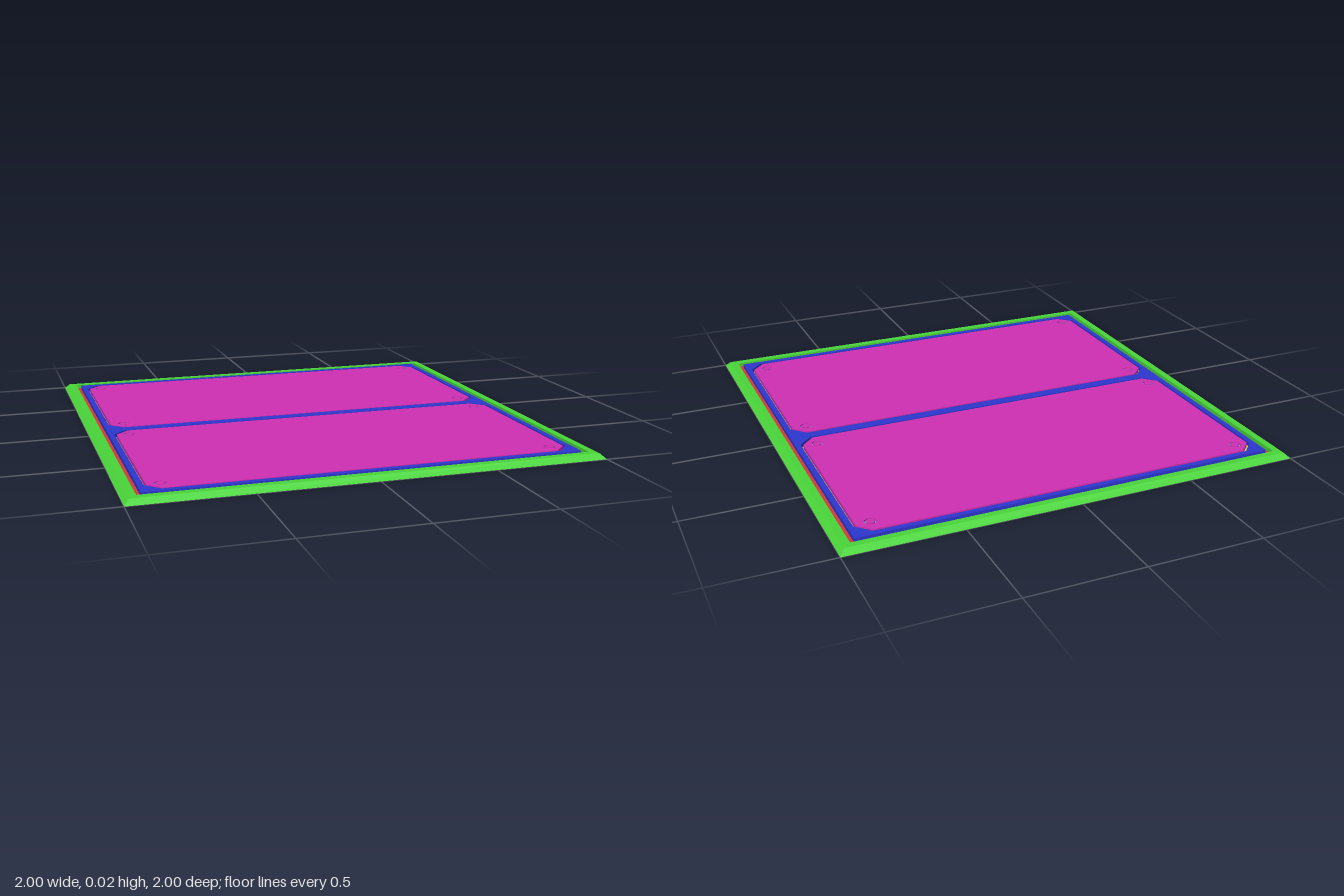
import * as THREE from 'three';

const TOP = 0.022, FLOOR = 0.004, RING_Y = 0.016;

const material = (color) =>
  new THREE.MeshStandardMaterial({ color, side: THREE.DoubleSide, flatShading: true });
const GREEN = material(0x4ad63a), RED = material(0xd63a3a), BLUE = material(0x2e36d0);
const YELLOW = material(0xd6d03a), MAGENTA = material(0xd030b4), CYAN = material(0x30c8d6);

// Outlines are loops of [x, z] points
const rect = (h, cz = 0) => [[-h, cz + h], [h, cz + h], [h, cz - h], [-h, cz - h]];

function octagon(cz, hx, hz, c) {
  return [
    [-hx + c, hz], [hx - c, hz], [hx, hz - c], [hx, -hz + c],
    [hx - c, -hz], [-hx + c, -hz], [-hx, -hz + c], [-hx, hz - c],
  ].map(([x, z]) => [x, z + cz]);
}

function circle(cx, cz, r, n = 24) {
  return Array.from({ length: n }, (_, i) => {
    const a = (i / n) * Math.PI * 2;
    return [cx + r * Math.cos(a), cz - r * Math.sin(a)];
  });
}

// Strip of quads joining an outer outline to an inner one
function strip(outer, y0, inner, y1) {
  const pos = [], n = outer.length;
  for (let i = 0; i < n; i++) {
    const j = (i + 1) % n;
    const a = [outer[i][0], y0, outer[i][1]], b = [outer[j][0], y0, outer[j][1]];
    const c = [inner[j][0], y1, inner[j][1]], d = [inner[i][0], y1, inner[i][1]];
    pos.push(...a, ...b, ...c, ...a, ...c, ...d);
  }
  const geo = new THREE.BufferGeometry();
  geo.setAttribute('position', new THREE.Float32BufferAttribute(pos, 3));
  geo.computeVertexNormals();
  return geo;
}

// Flat horizontal sheet with holes
function sheet(outline, holes, y) {
  const pts = (loop) => loop.map(([x, z]) => new THREE.Vector2(x, -z));
  const shape = new THREE.Shape(pts(outline));
  holes.forEach((h) => shape.holes.push(new THREE.Path(pts(h))));
  return new THREE.ShapeGeometry(shape).rotateX(-Math.PI / 2).translate(0, y, 0);
}

export function createModel() {
  const model = new THREE.Group();
  model.name = 'panelTile';
  const add = (name, geo, mat, parent = model) => {
    const mesh = new THREE.Mesh(geo, mat);
    mesh.name = name;
    parent.add(mesh);
  };

  // Bevelled outer frame, folded down into the groove around the plate
  const foot = rect(1), rim = rect(0.978), lip = rect(0.946, -0.002), plate = rect(0.924, -0.002);
  add('frameBevel', strip(foot, 0, rim, TOP), GREEN);
  add('frameTop', strip(rim, TOP, lip, TOP), GREEN);
  add('frameInnerWall', strip(lip, TOP, lip, FLOOR), GREEN);
  add('grooveFloor', strip(lip, FLOOR, plate, FLOOR), RED);

  // Backing plate with an opening for each panel
  const centres = [-0.464, 0.459];
  const opening = (cz) => octagon(cz, 0.9, 0.438, 0.06);
  add('plateOuterWall', strip(plate, FLOOR, plate, TOP), BLUE);
  add('plateTop', sheet(plate, centres.map(opening), TOP), BLUE);

  // Two chamfered panels, each set in a narrow seam and held by four fasteners
  centres.forEach((cz, k) => {
    const panel = new THREE.Group();
    panel.name = k ? 'frontPanel' : 'backPanel';
    model.add(panel);
    const outer = opening(cz), inner = octagon(cz, 0.89, 0.428, 0.056);
    add('seamOuterWall', strip(outer, TOP, outer, FLOOR), BLUE, panel);
    add('seamFloor', strip(outer, FLOOR, inner, FLOOR), YELLOW, panel);
    add('panelEdge', strip(inner, FLOOR, inner, TOP), MAGENTA, panel);

    const spots = [];
    for (const sx of [-1, 1]) for (const sz of [-1, 1]) spots.push([sx * 0.831 - 0.002, cz + sz * 0.366]);
    add('panelTop', sheet(inner, spots.map(([x, z]) => circle(x, z, 0.024)), TOP), MAGENTA, panel);

    spots.forEach(([x, z]) => {
      const big = circle(x, z, 0.024), small = circle(x, z, 0.018);
      add('fastenerOuterWall', strip(big, TOP, big, RING_Y), MAGENTA, panel);
      add('fastenerRing', strip(big, RING_Y, small, RING_Y), CYAN, panel);
      add('fastenerInnerWall', strip(small, RING_Y, small, TOP), MAGENTA, panel);
      add('fastenerHead', sheet(small, [], TOP), MAGENTA, panel);
    });
  });

  return model;
}
